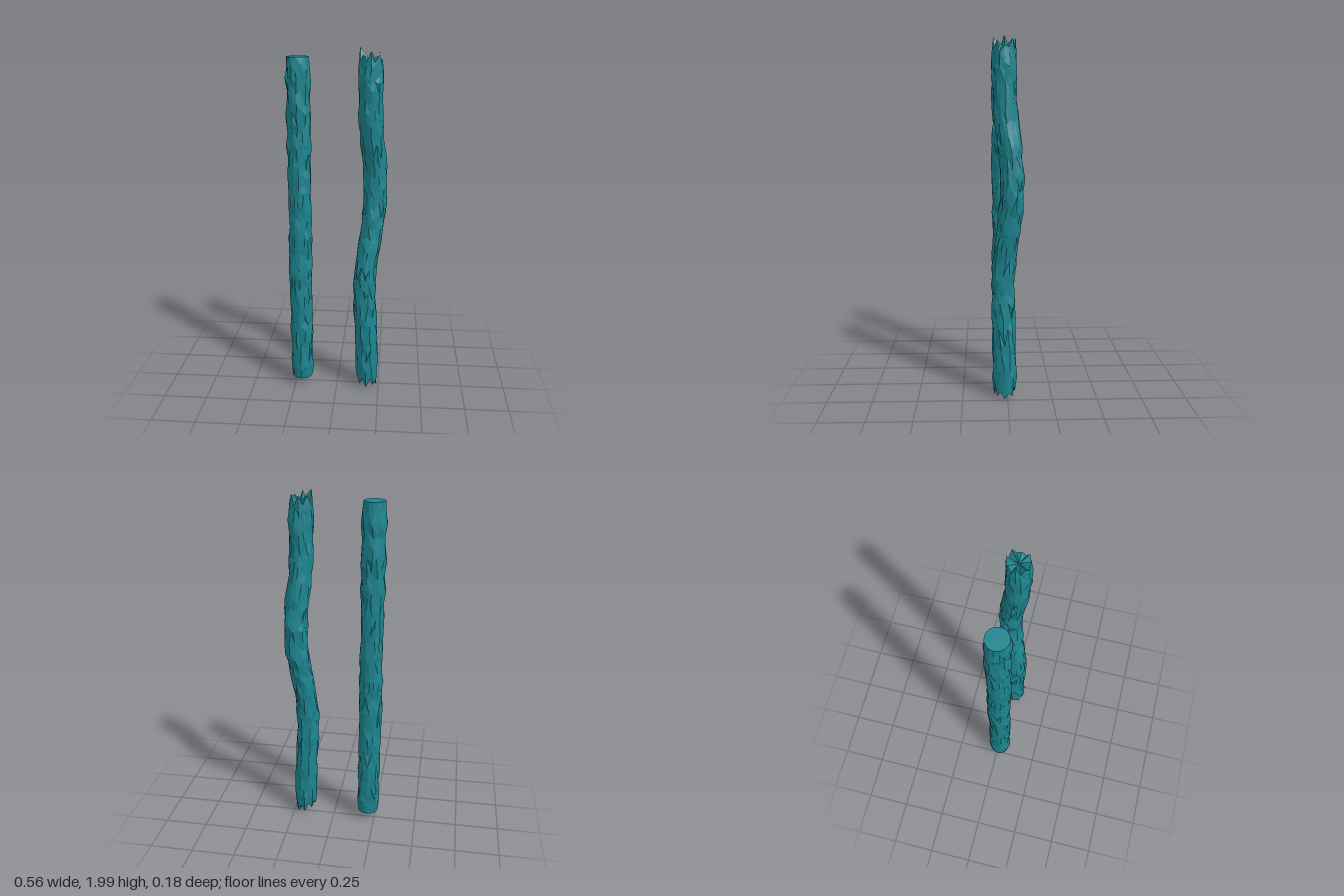
import * as THREE from 'three';

const SIDES = 16, ROWS = 32;

// Small seeded random generator
function seeded(seed) {
  return () => {
    seed = (seed * 16807) % 2147483647;
    return seed / 2147483647;
  };
}

// Rough bark tube swept along a mostly vertical path, closed by a fan at each end.
// bottomRim / topRim hold the heights of the rim corners.
function logGeometry(path, bottomRim, topRim, seed) {
  const rand = seeded(seed);
  const pos = [], index = [];
  for (let j = 0; j <= ROWS; j++) {
    const end = j === 0 || j === ROWS;
    for (let i = 0; i < SIDES; i++) {
      // odd columns sit half a row higher, giving staggered bark plates
      const stagger = end ? 0 : (i % 2 ? 0.25 : -0.25) + (rand() - 0.5) * 0.4;
      const p = path.getPoint((j + stagger) / ROWS);
      const a = ((i + (end ? 0 : (rand() - 0.5) * 0.4)) / SIDES) * Math.PI * 2;
      const lump = 0.002 * Math.sin(p.y * 34 + seed);
      const r = end ? 0.059 : 0.0645 + lump + (rand() - 0.5) * 0.012;
      const y = j === 0 ? bottomRim[i] : j === ROWS ? topRim[i] : p.y;
      pos.push(p.x + r * Math.cos(a), y, p.z + r * Math.sin(a));
    }
  }
  for (let j = 0; j < ROWS; j++) {
    for (let i = 0; i < SIDES; i++) {
      const k = (i + 1) % SIDES;
      const a = j * SIDES + i, b = j * SIDES + k, c = a + SIDES, d = b + SIDES;
      if ((i + j) % 2) index.push(a, c, b, b, c, d);
      else index.push(a, c, d, a, d, b);
    }
  }
  // end faces
  const start = path.getPoint(0), finish = path.getPoint(1);
  const low = pos.length / 3, high = low + 1, last = ROWS * SIDES;
  pos.push(...start.toArray(), ...finish.toArray());
  for (let i = 0; i < SIDES; i++) {
    const k = (i + 1) % SIDES;
    index.push(low, i, k, high, last + k, last + i);
  }
  const geo = new THREE.BufferGeometry();
  geo.setAttribute('position', new THREE.Float32BufferAttribute(pos, 3));
  geo.setIndex(index);
  geo.computeVertexNormals();
  return geo;
}

export function createModel() {
  const group = new THREE.Group();
  const bark = new THREE.MeshStandardMaterial({ color: 0x1c8590, flatShading: true, side: THREE.DoubleSide });
  const add = (name, geo) => {
    const mesh = new THREE.Mesh(geo, bark);
    mesh.name = name;
    group.add(mesh);
  };

  // Straight log with cleanly sawn ends
  const straight = new THREE.LineCurve3(
    new THREE.Vector3(-0.21, 0.06, 0.013), new THREE.Vector3(-0.21, 1.95, 0.013));
  add('straightLog', logGeometry(straight, Array(SIDES).fill(0.06), Array(SIDES).fill(1.95), 71));

  // Crooked log with splintered ends
  const crooked = new THREE.CatmullRomCurve3([
    [0.178, 0.075, 0.015], [0.176, 0.3, 0.015], [0.163, 0.55, 0.021], [0.164, 0.75, 0.018],
    [0.194, 0.97, -0.008], [0.213, 1.18, -0.025], [0.206, 1.38, -0.017],
    [0.184, 1.6, 0.008], [0.181, 1.8, 0.015], [0.18, 1.93, 0.014],
  ].map(p => new THREE.Vector3(...p)));
  const bottomRim = [0.01, 0.05, 0.025, 0.07, 0.02, 0.08, 0.035, 0.08,
    0.065, 0.09, 0.055, 0.085, 0.035, 0.07, 0.02, 0.04];
  const topRim = [1.94, 1.92, 1.965, 1.925, 1.98, 1.93, 1.965, 1.93,
    2.0, 1.94, 1.97, 1.925, 1.975, 1.92, 1.975, 1.93];
  add('crookedLog', logGeometry(crooked, bottomRim, topRim, 1234));

  return group;
}
